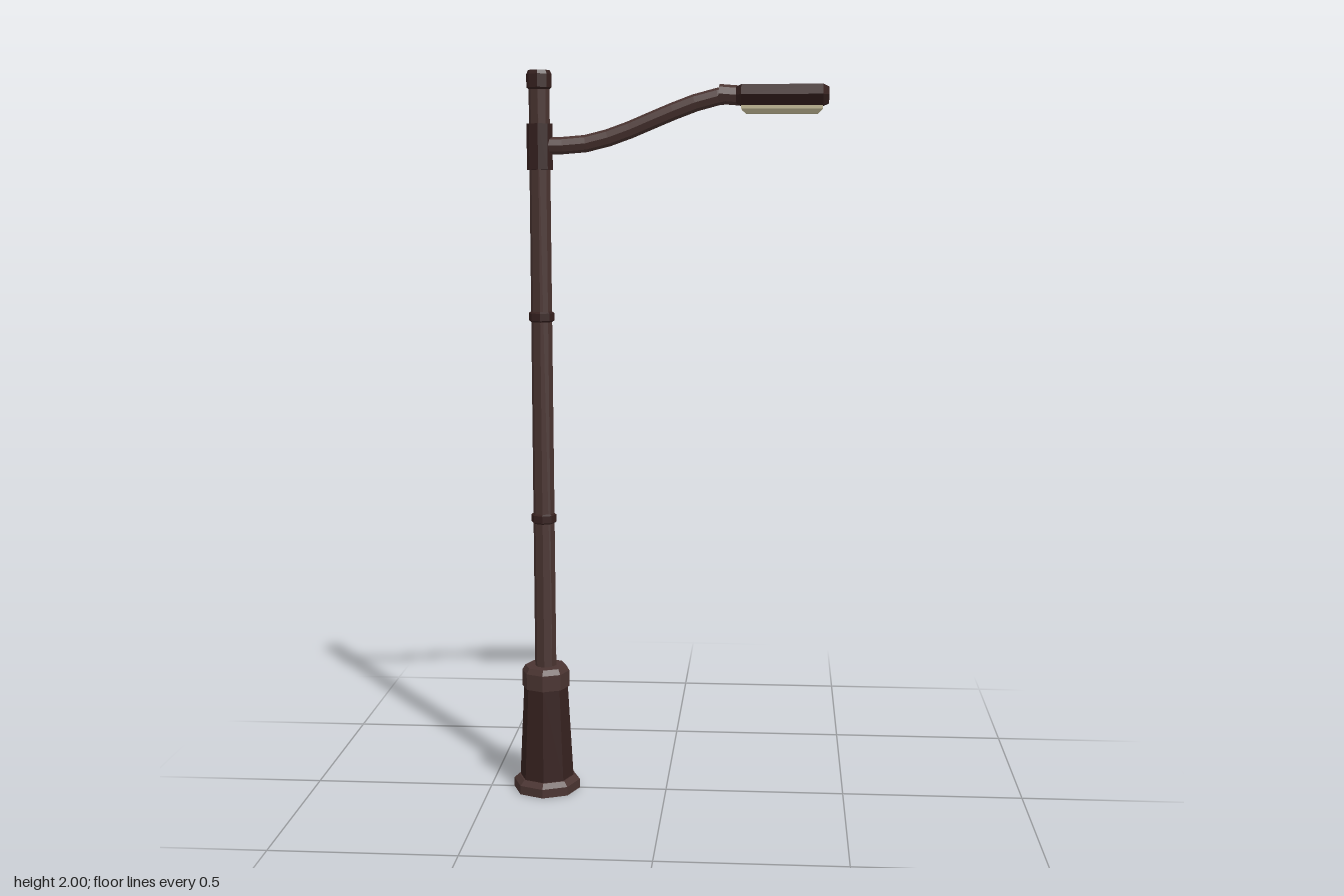
import * as THREE from 'three';

const POLE_X = -0.34;

function mat(color) {
  return new THREE.MeshStandardMaterial({ color, flatShading: true, side: THREE.DoubleSide });
}

export function createModel() {
  const group = new THREE.Group();
  const brown = mat(0x4a3431), dark = mat(0x36211f), cream = mat(0xcfc5a0);

  const add = (name, geometry, material, x = 0) => {
    const mesh = new THREE.Mesh(geometry, material);
    mesh.name = name;
    mesh.position.x = x;
    group.add(mesh);
    return mesh;
  };
  // Octagonal turned part on the pole axis, profile as [radius, y]
  const turned = (name, profile, material) =>
    add(name, new THREE.LatheGeometry(profile.map(p => new THREE.Vector2(...p)), 8), material, POLE_X);
  // Closed loft through rings of equal point count
  const loft = rings => {
    const n = rings[0].length, pos = rings.flat(2), idx = [];
    for (let r = 0; r < rings.length - 1; r++) {
      for (let i = 0; i < n; i++) {
        const a = r * n + i, b = r * n + (i + 1) % n;
        idx.push(a, b, a + n, b, b + n, a + n);
      }
    }
    const last = (rings.length - 1) * n;
    for (let i = 1; i < n - 1; i++) idx.push(0, i + 1, i, last, last + i, last + i + 1);
    const g = new THREE.BufferGeometry();
    g.setAttribute('position', new THREE.Float32BufferAttribute(pos, 3));
    g.setIndex(idx);
    const flat = g.toNonIndexed();
    flat.computeVertexNormals();
    return flat;
  };

  // Base
  turned('baseFlange', [[0, 0], [0.094, 0], [0.094, 0.025], [0.08, 0.038], [0, 0.038]], brown);
  turned('baseBody', [[0.076, 0.036], [0.062, 0.302]], dark);
  turned('baseCollar', [[0, 0.3], [0.067, 0.3], [0.067, 0.345], [0.058, 0.36], [0, 0.36]], brown);

  // Pole with bands, arm bracket and cap
  turned('pole', [[0.03, 0.35], [0.028, 1.96]], brown);
  for (const y of [0.783, 1.343]) {
    turned('poleBand', [[0.028, y - 0.015], [0.035, y - 0.01], [0.035, y + 0.01], [0.028, y + 0.015]], dark);
  }
  turned('armBracket', [[0.028, 1.738], [0.035, 1.738], [0.035, 1.86], [0.028, 1.86]], dark);
  turned('poleCap', [[0.028, 1.95], [0.034, 1.955], [0.034, 1.99], [0.029, 2], [0, 2]], dark);

  // Curved arm
  const armPoints = [[-0.34, 1.802], [-0.28, 1.802], [-0.2, 1.81], [-0.1, 1.842], [0.01, 1.888],
    [0.12, 1.926], [0.2, 1.936]].map(p => new THREE.Vector3(p[0], p[1], 0));
  add('arm', new THREE.TubeGeometry(new THREE.CatmullRomCurve3(armPoints), 9, 0.023, 8), brown);
  const sleeve = new THREE.CylinderGeometry(0.026, 0.026, 0.06, 8).rotateZ(Math.PI / 2 - 0.08);
  add('armSleeve', sleeve, brown, 0.17).position.y = 1.934;

  // Lamp head: hexagonal section with chamfered ends
  const section = [[1, 0], [0.68, 1], [-0.68, 1], [-1, 0], [-0.68, -1], [0.68, -1]];
  const headRings = [[0.187, 0.048, 0.021], [0.201, 0.077, 0.027], [0.415, 0.077, 0.027], [0.431, 0.05, 0.021]];
  add('lampHead', loft(headRings.map(([x, w, h]) =>
    section.map(([z, y]) => [x, 1.932 + y * h, z * w]).reverse())), dark);

  // Lens under the head, tapering downward
  const lensRings = [[1.91, 0.107, 0.052], [1.896, 0.107, 0.05], [1.885, 0.095, 0.038]];
  add('lens', loft(lensRings.map(([y, l, w]) =>
    [[-1, -1], [-1, 1], [1, 1], [1, -1]].map(([x, z]) => [0.308 + x * l, y, z * w]).reverse())), cream);

  return group;
}
